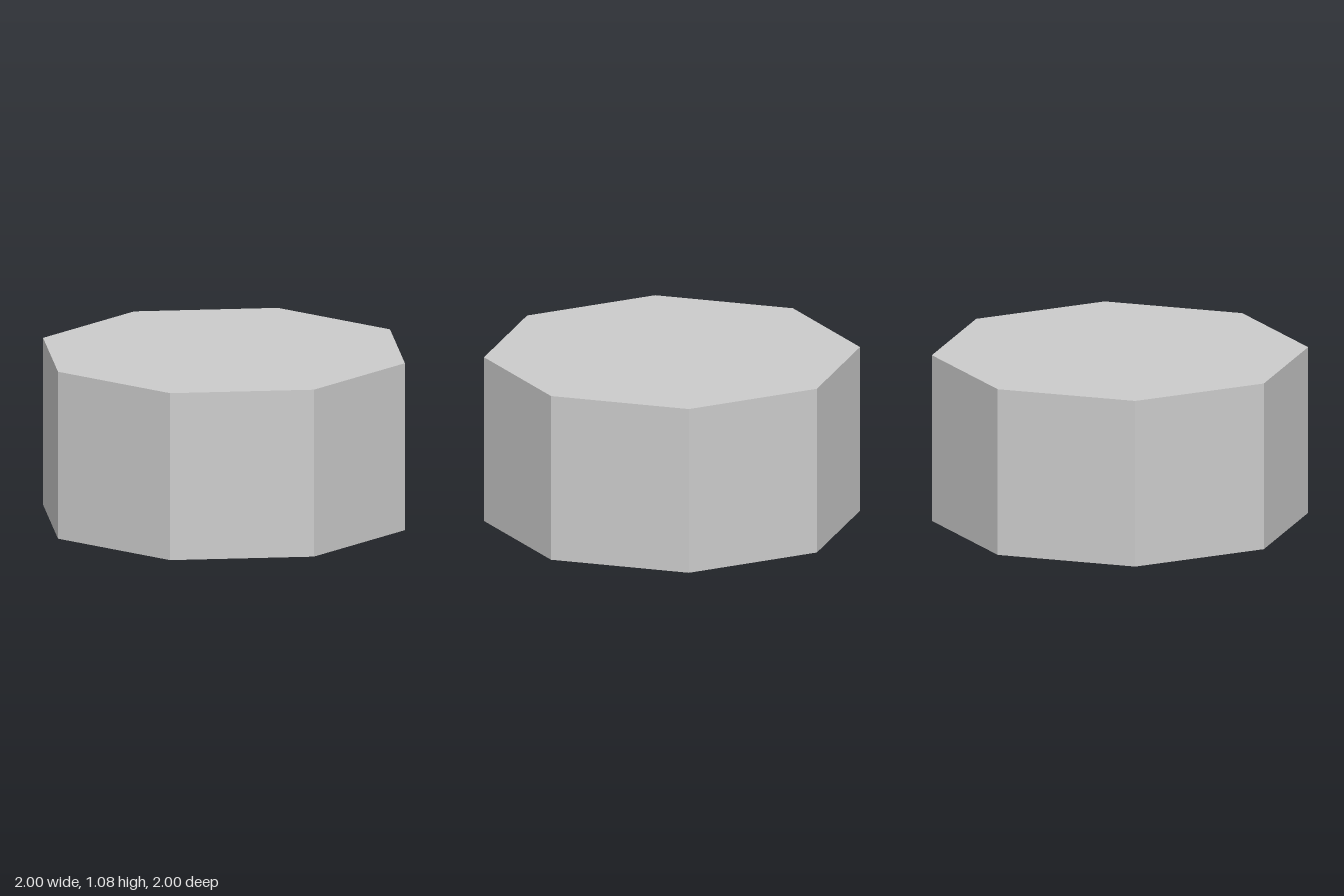
import * as THREE from 'three';

const material = new THREE.MeshStandardMaterial({ color: 0xcccccc, flatShading: true });

function add(group, name, geometry) {
  const mesh = new THREE.Mesh(geometry, material);
  mesh.name = name;
  group.add(mesh);
  return mesh;
}

export function createModel() {
  const group = new THREE.Group();
  group.name = 'octagonalButton';

  const bottom = 0.165, top = 1.075, ceiling = 0.465;

  // Octagonal housing with a shallow octagonal recess underneath
  const profile = [
    [0, ceiling], [0.805, ceiling], [0.805, bottom],
    [1, bottom], [1, top], [0, top],
  ].map(([x, y]) => new THREE.Vector2(x, y));
  add(group, 'housing', new THREE.LatheGeometry(profile, 8));

  // Faceted dome hanging from the recess, its lowest point on the ground
  const radius = 0.483;
  const dome = add(group, 'dome',
    new THREE.SphereGeometry(radius, 16, 4, 0, Math.PI * 2, Math.PI / 2, Math.PI / 2));
  dome.position.y = radius;

  return group;
}
